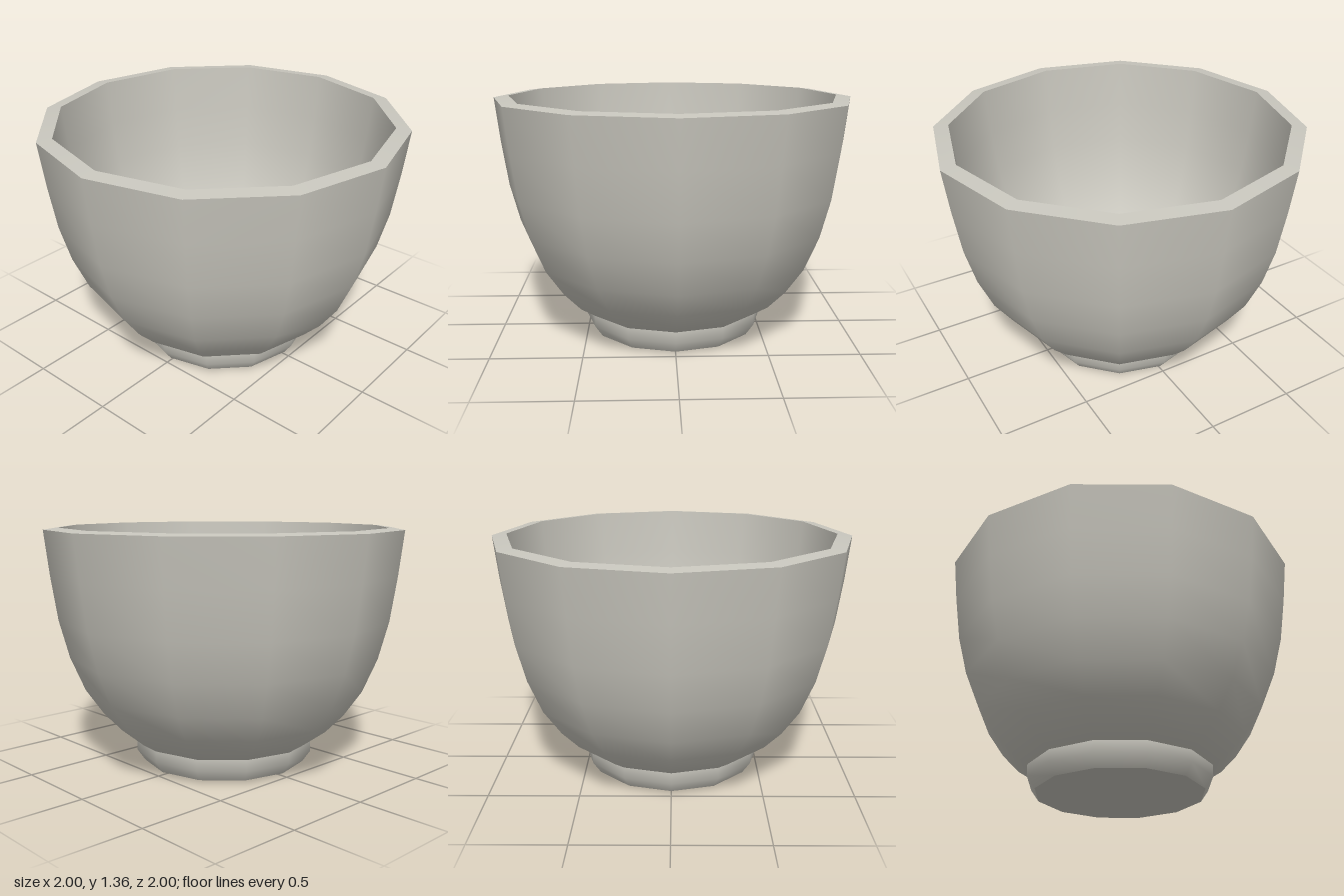
import * as THREE from 'three';

const SIDES = 12;

export function createModel() {
  const bowl = new THREE.Group();
  bowl.name = 'bowl';

  const stoneware = new THREE.MeshStandardMaterial({ color: 0xc9c7be });
  stoneware.name = 'pale grey stoneware';

  // Each part is its own turned profile, so edges between parts stay sharp.
  function turned(name, profile) {
    const points = profile.map(([r, y]) => new THREE.Vector2(r, y));
    const mesh = new THREE.Mesh(new THREE.LatheGeometry(points, SIDES), stoneware);
    mesh.name = name;
    bowl.add(mesh);
  }

  // Slightly domed underside
  turned('underside', [[0, 0], [0.32, 0.005], [0.47, 0.015]]);

  // Foot ring with a bevelled lower edge
  turned('footRing', [[0.47, 0.015], [0.515, 0.08], [0.515, 0.145]]);

  // Curved outer wall
  turned('outerWall', [
    [0.515, 0.145], [0.6, 0.2], [0.7, 0.305], [0.8, 0.45],
    [0.88, 0.64], [0.935, 0.85], [0.972, 1.1], [1, 1.345],
  ]);

  // Rim, rising a little towards the inside
  turned('rim', [[1, 1.345], [0.918, 1.355]]);

  // Inner wall running down into the flat floor
  turned('innerWall', [
    [0.918, 1.355], [0.892, 1.1], [0.857, 0.86], [0.805, 0.66],
    [0.73, 0.485], [0.635, 0.35], [0.54, 0.265], [0.45, 0.215], [0, 0.2],
  ]);

  return bowl;
}
